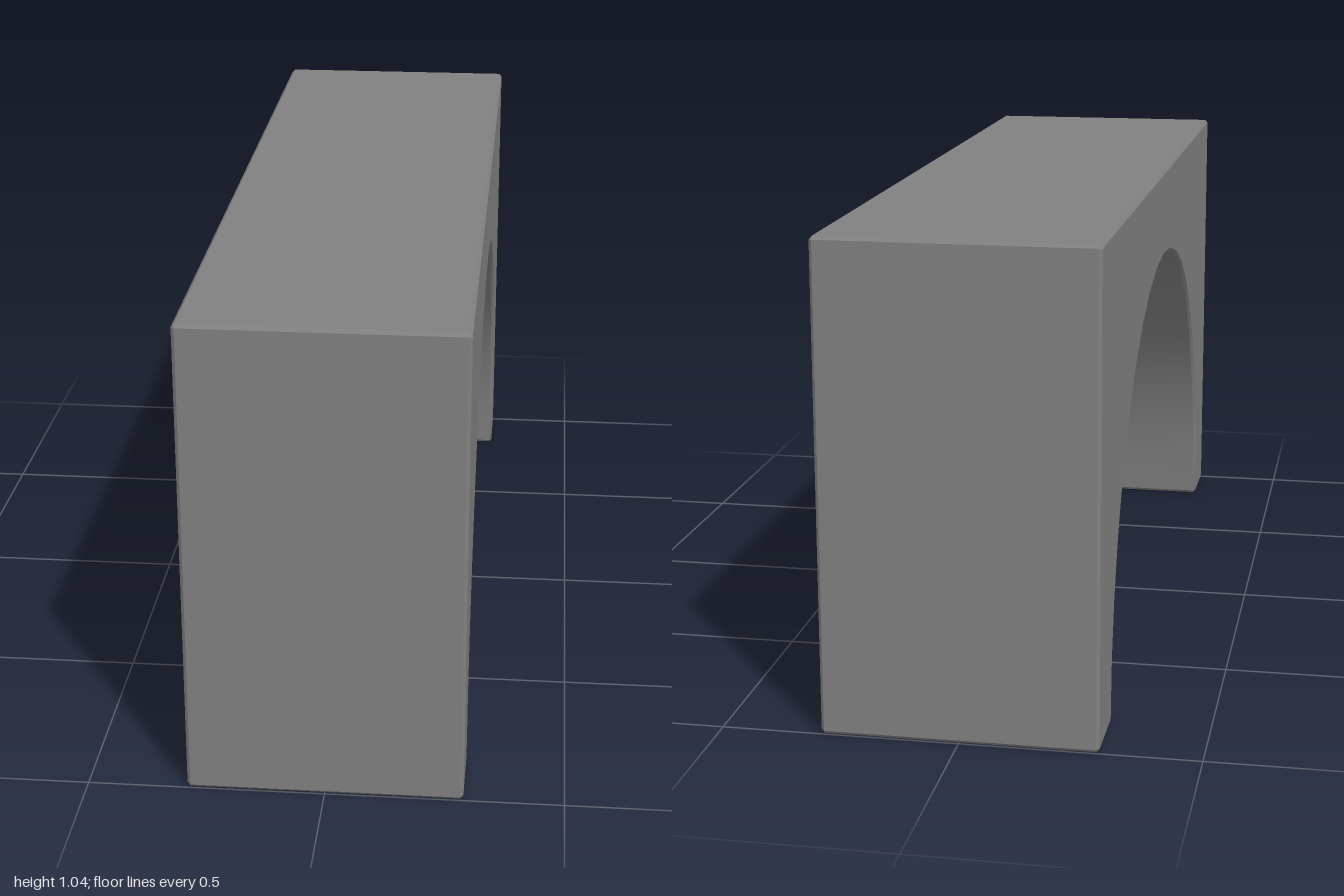
import * as THREE from 'three';
import { toCreasedNormals } from 'three/addons/utils/BufferGeometryUtils.js';

const HALF_LENGTH = 1, HEIGHT = 1.04, WIDTH = 0.58;
const ARCH_RADIUS = 0.83, ARCH_SEGMENTS = 20, BEVEL = 0.007;

// Side outline: a block with chamfered corners and a round opening below
function archProfile() {
  const L = HALF_LENGTH, H = HEIGHT, R = ARCH_RADIUS, b = BEVEL;
  const points = [[-L, b], [-L + b, 0], [-R - b, 0]];
  for (let i = 0; i <= ARCH_SEGMENTS; i++) {
    const a = Math.PI * (1 - i / ARCH_SEGMENTS);
    points.push([R * Math.cos(a), b + R * Math.sin(a)]);
  }
  points.push([R + b, 0], [L - b, 0], [L, b], [L, H - b], [L - b, H], [-L + b, H], [-L, H - b]);
  return new THREE.Shape(points.map(([x, y]) => new THREE.Vector2(x, y)));
}

export function createModel() {
  const stoneGrey = new THREE.MeshStandardMaterial({ color: 0x808080 });
  stoneGrey.name = 'stoneGrey';

  // Extruded across the width, with a fine bevel on every edge
  const geometry = new THREE.ExtrudeGeometry(archProfile(), {
    depth: WIDTH - 2 * BEVEL,
    bevelEnabled: true,
    bevelThickness: BEVEL,
    bevelSize: BEVEL,
    bevelOffset: -BEVEL,
    bevelSegments: 1,
  });
  geometry.translate(0, 0, -(WIDTH - 2 * BEVEL) / 2);
  geometry.rotateY(Math.PI / 2);

  // Smooth inside the arch, sharp at the bevels
  const arch = new THREE.Mesh(toCreasedNormals(geometry, 0.5), stoneGrey);
  arch.name = 'archBlock';

  const model = new THREE.Group();
  model.name = 'arch';
  model.add(arch);
  return model;
}
